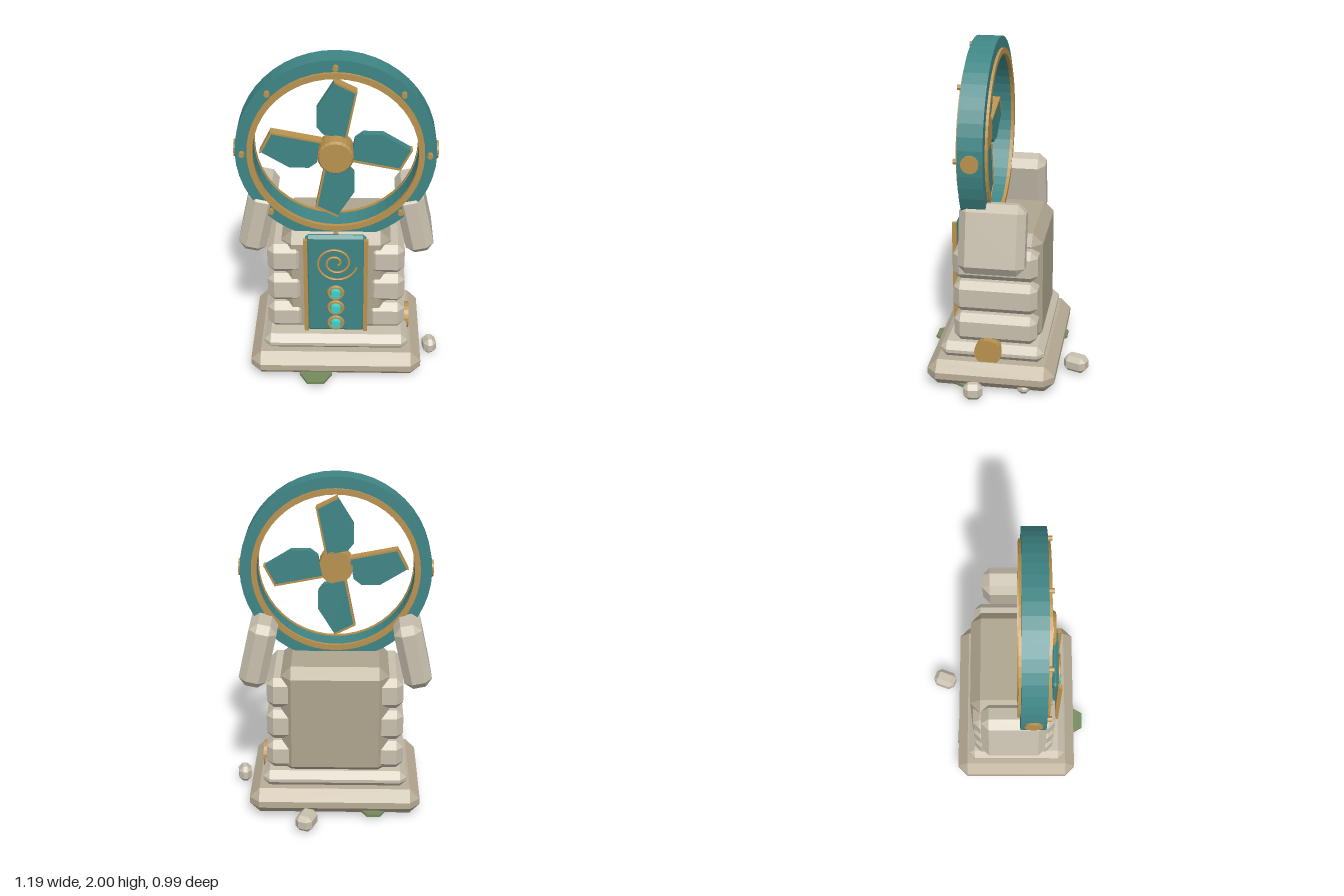
import * as THREE from 'three';
import { ConvexGeometry } from 'three/addons/geometries/ConvexGeometry.js';

const mat = (color) => new THREE.MeshStandardMaterial({ color, flatShading: true });
const STONE = mat(0xc8c0ae), DARK_STONE = mat(0xb8ad96), CORE = mat(0xaea58e);
const TEAL = mat(0x3f8585), GOLD = mat(0xb8924f), GEM = mat(0x40d0c8), MOSS = mat(0x758a5c);
const CX = -0.028, RING_Y = 1.44;

// Box with every edge and corner cut flat
function chamferBox(w, h, d, c) {
  const pts = [];
  for (const x of [-1, 1]) for (const y of [-1, 1]) for (const z of [-1, 1]) {
    const [a, b, e] = [w / 2, h / 2, d / 2];
    pts.push(new THREE.Vector3(x * a, y * (b - c), z * (e - c)));
    pts.push(new THREE.Vector3(x * (a - c), y * b, z * (e - c)));
    pts.push(new THREE.Vector3(x * (a - c), y * (b - c), z * e));
  }
  return new ConvexGeometry(pts);
}

// Ring of rectangular section facing z
function band(inner, outer, z0, z1, seg = 48) {
  const p = [[inner, z0], [outer, z0], [outer, z1], [inner, z1], [inner, z0]];
  return new THREE.LatheGeometry(p.map(([x, y]) => new THREE.Vector2(x, y)), seg).rotateX(Math.PI / 2);
}

// Disc facing z, with optional narrower front
function disc(r, depth, seg = 16, front = r) {
  return new THREE.CylinderGeometry(front, r, depth, seg).rotateX(Math.PI / 2);
}

// Flat extrusion from points in hundredths of a unit
function plate(points, depth) {
  const s = new THREE.Shape(points.map(([x, y]) => new THREE.Vector2(x / 100, y / 100)));
  return new THREE.ExtrudeGeometry(s, { depth, bevelEnabled: false });
}

export function createModel() {
  const root = new THREE.Group();
  function add(name, geo, material, x = 0, y = 0, z = 0, parent = root) {
    const m = new THREE.Mesh(geo, material);
    m.name = name;
    m.position.set(x, y, z);
    parent.add(m);
    return m;
  }

  // Stepped plinth and central pillar
  add('baseSlab', chamferBox(1.02, 0.16, 0.755, 0.06), DARK_STONE, CX, 0.1, 0.056);
  add('upperSlab', chamferBox(0.86, 0.1, 0.615, 0.04), STONE, CX, 0.225, 0.056);
  add('pillarCore', chamferBox(0.635, 0.69, 0.49, 0.06), CORE, CX, 0.59, 0.022);

  // Stacked stones and leaning shoulders on both sides
  for (const side of [-1, 1]) {
    [[0.77, 0.19], [0.565, 0.19], [0.367, 0.175]].forEach(([y, h], i) => {
      const w = 0.21 + 0.008 * i;
      add('sideStone', chamferBox(w, h, 0.49, 0.04), STONE, CX + side * 0.295, y, 0.038);
    });
    const arm = add('shoulderStone', chamferBox(0.165, 0.4, 0.375, 0.045), STONE, CX + side * 0.454, 0.975, 0.035);
    arm.rotation.z = side * 0.22;
  }

  // Large ring with trim, rivets and side caps
  const ring = new THREE.Group();
  ring.name = 'ring';
  ring.position.set(CX, RING_Y, 0);
  root.add(ring);
  add('ringBody', band(0.465, 0.56, 0.07, 0.21), TEAL, 0, 0, 0, ring);
  add('frontTrim', band(0.46, 0.493, 0.205, 0.228), GOLD, 0, 0, 0, ring);
  add('backTrim', band(0.46, 0.493, 0.055, 0.075), GOLD, 0, 0, 0, ring);
  for (let i = 0; i < 8; i++) {
    const a = i * Math.PI / 4;
    add('rivet', disc(0.016, 0.03, 8), GOLD, 0.521 * Math.cos(a), 0.521 * Math.sin(a), 0.222, ring);
  }
  for (const side of [-1, 1]) {
    add('sideCap', new THREE.CylinderGeometry(0.05, 0.05, 0.03, 16).rotateZ(Math.PI / 2), GOLD, side * 0.555, 0, 0.14, ring);
  }

  // Hub and four blades with gilded edges
  add('hub', disc(0.1, 0.12, 20), GOLD, 0, 0, 0.19, ring);
  add('hubFace', disc(0.1, 0.015, 20, 0.09), GOLD, 0, 0, 0.2575, ring);
  const blade = plate([[5, 8], [10.5, 35.5], [-1, 41.5], [-10.5, 26], [-10.5, 15], [-7, 10.5]], 0.05);
  const edge = plate([[5, 8], [6.2, 8], [11.7, 36.2], [-1, 42.7], [-1, 41.5], [10.5, 35.5]], 0.06);
  for (let i = 0; i < 4; i++) {
    add('blade', blade, TEAL, 0, 0, 0.13, ring).rotation.z = i * Math.PI / 2;
    add('bladeEdge', edge, GOLD, 0, 0, 0.125, ring).rotation.z = i * Math.PI / 2;
  }

  // Front panel with side rails
  add('frontPanel', chamferBox(0.35, 0.675, 0.045, 0.018), TEAL, CX, 0.618, 0.28);
  for (const side of [-1, 1]) {
    add('panelRail', new THREE.BoxGeometry(0.024, 0.64, 0.026), GOLD, CX + side * 0.174, 0.62, 0.311);
  }

  // Spiral ornament
  const spiral = [];
  for (let i = 0; i <= 40; i++) {
    const t = i / 40, a = -0.2 - t * 4.2 * Math.PI, r = 0.125 - 0.105 * t;
    spiral.push(new THREE.Vector3(r * Math.cos(a), r * Math.sin(a), 0));
  }
  add('spiral', new THREE.TubeGeometry(new THREE.CatmullRomCurve3(spiral), 90, 0.007, 6), GOLD, CX, 0.78, 0.312);

  // Column of round gems
  for (const y of [0.57, 0.463, 0.352]) {
    add('gemSetting', new THREE.TorusGeometry(0.041, 0.011, 6, 20), GOLD, CX, y, 0.311);
    add('gem', disc(0.036, 0.035, 16, 0.026), GEM, CX, y, 0.318);
  }

  // Round boss on the left of the plinth
  add('sideBoss', new THREE.CylinderGeometry(0.08, 0.08, 0.06, 20).rotateZ(Math.PI / 2), GOLD, 0.385, 0.24, 0.073);

  // Fallen stones: x, y, z, width, height, depth, turn
  for (const [x, y, z, w, h, d, turn] of [
    [0.548, 0.063, 0.137, 0.08, 0.1, 0.11, 0.15],
    [0.135, 0.063, -0.422, 0.105, 0.1, 0.14, -0.35],
    [0.42, 0.038, -0.14, 0.09, 0.07, 0.08, 0.3],
  ]) add('fallenStone', chamferBox(w, h, d, 0.027), STONE, x, y, z).rotation.y = turn;

  // Moss patches around the foot
  for (const [x, z, r] of [[-0.147, 0.41, 0.098], [-0.26, -0.26, 0.08], [0.4, 0.2, 0.075]]) {
    add('moss', new THREE.CylinderGeometry(r, r, 0.016, 6).rotateY(Math.PI / 6), MOSS, x, 0.037, z);
  }
  return root;
}
